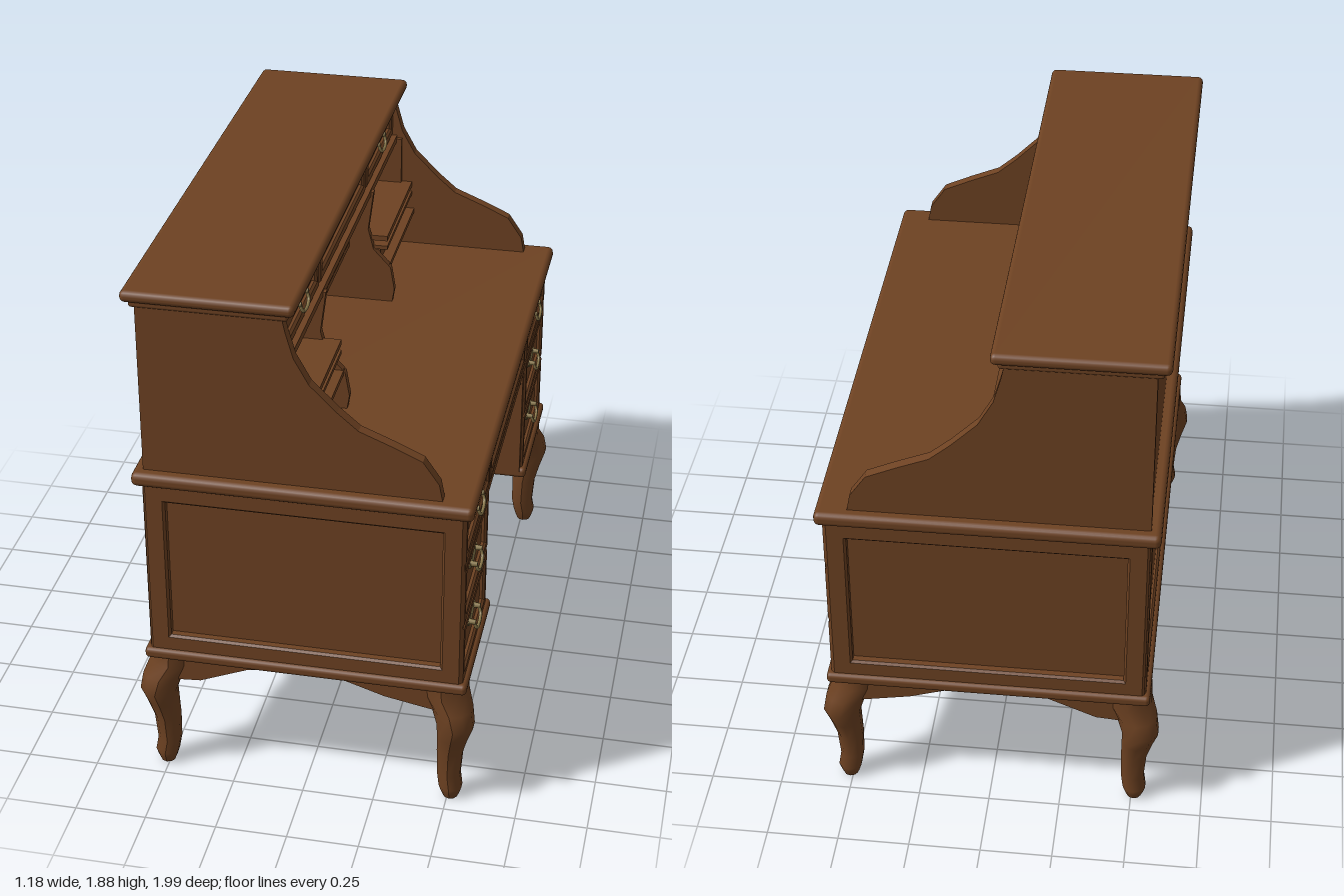
import * as THREE from 'three';
import { RoundedBoxGeometry } from 'three/addons/geometries/RoundedBoxGeometry.js';

export function createModel() {
  const desk = new THREE.Group();
  desk.name = 'writingDesk';
  const wood = new THREE.MeshStandardMaterial({ color: 0x6e4222 });
  wood.name = 'walnut';
  const brass = new THREE.MeshStandardMaterial({ color: 0x8c7a4c });
  brass.name = 'brass';

  function add(name, geo, mat = wood, parent = desk) {
    const m = new THREE.Mesh(geo, mat);
    m.name = name;
    parent.add(m);
    return m;
  }
  // box given by its limits on each axis
  function box(name, x0, x1, y0, y1, z0, z1, round = 0) {
    const s = [Math.abs(x1 - x0), y1 - y0, Math.abs(z1 - z0)];
    const g = round ? new RoundedBoxGeometry(...s, 2, round) : new THREE.BoxGeometry(...s);
    g.translate((x0 + x1) / 2, (y0 + y1) / 2, (z0 + z1) / 2);
    return add(name, g);
  }
  const toShape = pts => new THREE.Shape(pts.map(p => new THREE.Vector2(...p)));
  // upright board cut in the x-y plane
  function sideBoard(name, pts, z0, z1) {
    const g = new THREE.ExtrudeGeometry(toShape(pts), { depth: z1 - z0, bevelEnabled: false });
    return add(name, g.translate(0, 0, z0));
  }
  // upright board cut in the z-y plane
  function frontBoard(name, pts, x0, x1) {
    const g = new THREE.ExtrudeGeometry(toShape(pts.map(([z, y]) => [-z, y])), { depth: x1 - x0, bevelEnabled: false });
    return add(name, g.rotateY(Math.PI / 2).translate(x0, 0, 0));
  }
  // bevelled picture-frame moulding, facing +z before turning
  function frame(name, w, h, border, depth, pos, turn) {
    const b = 0.008;
    const rect = (a, c) => [[-a, -c], [a, -c], [a, c], [-a, c]];
    const s = toShape(rect(w / 2 - b, h / 2 - b));
    s.holes.push(new THREE.Path(rect(w / 2 - border, h / 2 - border).reverse().map(p => new THREE.Vector2(...p))));
    const g = new THREE.ExtrudeGeometry(s, { depth: depth - b, bevelThickness: b, bevelSize: b, bevelSegments: 1 });
    const m = add(name, g);
    m.rotation.y = turn;
    m.position.set(...pos);
  }

  // drawer pull: thin backplate, two posts and a hanging bail
  function pull(x, y, z) {
    const g = new THREE.Group();
    g.name = 'drawerPull';
    const s = new THREE.Shape();
    s.moveTo(-0.075, 0.012);
    s.quadraticCurveTo(-0.04, 0.012, 0, 0.034);
    s.quadraticCurveTo(0.04, 0.012, 0.075, 0.012);
    s.quadraticCurveTo(0.06, -0.015, 0.03, -0.016);
    s.quadraticCurveTo(0, -0.034, -0.03, -0.016);
    s.quadraticCurveTo(-0.06, -0.015, -0.075, 0.012);
    add('backplate', new THREE.ExtrudeGeometry(s, { depth: 0.006, bevelEnabled: false, curveSegments: 5 }), brass, g);
    for (const u of [-0.05, 0.05]) {
      const post = new THREE.CylinderGeometry(0.008, 0.011, 0.028, 8).rotateX(Math.PI / 2);
      add('post', post.translate(u, 0.008, 0.014), brass, g);
    }
    const path = new THREE.CatmullRomCurve3([[-0.05, 0.008, 0.022], [-0.045, -0.018, 0.03], [0, -0.03, 0.032],
      [0.045, -0.018, 0.03], [0.05, 0.008, 0.022]].map(p => new THREE.Vector3(...p)));
    add('bail', new THREE.TubeGeometry(path, 14, 0.006, 6), brass, g);
    g.rotation.y = Math.PI / 2;
    g.position.set(x, y, z);
    desk.add(g);
  }
  // drawer front: recessed panel with raised border
  function drawer(x, y0, y1, z0, z1, handle) {
    box('drawerPanel', x - 0.05, x, y0 + 0.01, y1 - 0.01, z0 + 0.01, z1 - 0.01);
    const y = (y0 + y1) / 2, z = (z0 + z1) / 2;
    frame('drawerBorder', z1 - z0, y1 - y0, 0.032, 0.02, [x - 0.002, y, z], Math.PI / 2);
    if (handle) pull(x, y, z);
  }

  // writing surface and base moulding
  box('deskTop', -0.57, 0.575, 1.18, 1.23, -0.99, 0.99, 0.02);
  for (const s of [-1, 1]) box('baseMoulding', -0.555, 0.565, 0.485, 0.525, s * 0.44, s * 0.985, 0.015);
  box('backBaseMoulding', -0.555, -0.49, 0.485, 0.525, -0.5, 0.5, 0.015);

  // lower case around the kneehole
  box('lowerBack', -0.525, -0.49, 0.5, 1.19, -0.95, 0.95);
  box('drawerCase', -0.5, 0.52, 0.99, 1.19, -0.94, 0.94);
  for (const s of [-1, 1]) {
    box('pedestal', -0.5, 0.52, 0.5, 1.0, s * 0.44, s * 0.94);
    frame('sidePanelFrame', 1.08, 0.68, 0.065, 0.035, [0.005, 0.85, s * 0.935], s > 0 ? 0 : Math.PI);
    box('pedestalStile', 0.5, 0.542, 0.51, 0.99, s * 0.435, s * 0.465);
    for (const [a, b] of [[0.515, 0.75], [0.755, 0.985]]) {
      drawer(0.532, a, b, s > 0 ? 0.46 : -0.965, s > 0 ? 0.965 : -0.46, true);
    }
    drawer(0.532, 1.0, 1.18, s > 0 ? 0.45 : -0.965, s > 0 ? 0.965 : -0.45, true);
  }
  drawer(0.53, 1.0, 1.18, -0.43, 0.43, false);
  box('drawerRail', 0.48, 0.548, 0.975, 1.003, -0.96, 0.96);
  frontBoard('kneeholeArch', [[-0.45, 0.99], [-0.45, 0.88], [-0.43, 0.91], [-0.36, 0.955], [-0.25, 0.97],
    [0.25, 0.97], [0.36, 0.955], [0.43, 0.91], [0.45, 0.88], [0.45, 0.99]], 0.5, 0.535);
  frame('lowerBackFrame', 1.92, 0.68, 0.05, 0.018, [-0.522, 0.85, 0], -Math.PI / 2);
  const lock = new THREE.CylinderGeometry(0.042, 0.042, 0.008, 12).rotateZ(Math.PI / 2);
  add('keyPlate', lock.translate(0.535, 1.09, 0), brass);

  // aprons and cabriole legs: [height, x centre, radius]
  const sections = [[0.5, 0.475, 0.085], [0.44, 0.48, 0.083], [0.39, 0.51, 0.072], [0.33, 0.525, 0.066], [0.27, 0.515, 0.056],
    [0.2, 0.505, 0.047], [0.1, 0.502, 0.042], [0.05, 0.51, 0.042], [0.025, 0.51, 0.034], [0.005, 0.51, 0.026]];
  const rows = sections.length - 1;
  for (const sz of [-1, 1]) {
    sideBoard('sideApron', [[-0.5, 0.5], [-0.5, 0.38], [-0.37, 0.39], [-0.2, 0.46], [-0.08, 0.478], [0.1, 0.478],
      [0.28, 0.42], [0.44, 0.39], [0.5, 0.38], [0.5, 0.5]], sz * 0.93 - 0.018, sz * 0.93 + 0.018);
    for (const sx of [-1, 1]) {
      frontBoard('cornerBracket', [[0.92, 0.5], [0.92, 0.37], [0.8, 0.385], [0.72, 0.41], [0.64, 0.425], [0.58, 0.478],
        [0.58, 0.5]].map(([z, y]) => [z * sz, y]), sx * 0.51 - 0.018, sx * 0.51 + 0.018);
      const g = new THREE.CylinderGeometry(1, 1, 1, 10, rows);
      const p = g.attributes.position;
      for (let i = 0; i < p.count; i++) {
        const [y, c, r] = sections[Math.round((0.5 - p.getY(i)) * rows)];
        p.setXYZ(i, sx * c + r * p.getX(i), y, sz * (c + 0.405) + r * p.getZ(i));
      }
      g.computeVertexNormals();
      add('cabrioleLeg', g);
    }
  }

  // hutch sides with swept front edge
  const sweep = [[-0.535, 1.21], [0.47, 1.21], [0.455, 1.29], [0.4, 1.37], [0.3, 1.415], [0.19, 1.46], [0.12, 1.52],
    [0.03, 1.61], [-0.02, 1.7], [-0.045, 1.79], [-0.06, 1.86], [-0.535, 1.86]];
  for (const s of [-1, 1]) sideBoard('hutchSide', sweep, s * 0.93 - 0.02, s * 0.93 + 0.02);
  box('hutchBack', -0.53, -0.5, 1.21, 1.86, -0.93, 0.93);
  box('hutchTop', -0.58, -0.012, 1.85, 1.89, -0.97, 0.97, 0.018);
  box('hutchCornice', -0.555, -0.035, 1.83, 1.86, -0.955, 0.955, 0.01);

  // top row of hutch drawers
  box('hutchDrawerCase', -0.51, -0.09, 1.67, 1.84, -0.92, 0.92);
  box('hutchRail', -0.51, -0.04, 1.655, 1.68, -0.92, 0.92);
  drawer(-0.075, 1.68, 1.84, 0.4, 0.915, true);
  drawer(-0.075, 1.68, 1.84, -0.915, -0.4, true);
  drawer(-0.075, 1.68, 1.84, -0.385, 0.385, false);

  // pigeonholes: shaped dividers, shelves and little drawers
  box('centreShelf', -0.51, -0.12, 1.445, 1.465, -0.41, 0.41);
  for (const s of [-1, 1]) {
    sideBoard('divider', [[-0.51, 1.22], [0.04, 1.22], [0.05, 1.28], [0.035, 1.37], [-0.03, 1.44], [-0.05, 1.52],
      [-0.03, 1.67], [-0.51, 1.67]], s * 0.41 - 0.014, s * 0.41 + 0.014);
    box('upperShelf', -0.51, 0.02, 1.47, 1.49, s * 0.41, s * 0.92);
    box('middleShelf', -0.51, 0.02, 1.435, 1.45, s * 0.41, s * 0.92);
    box('lowerShelf', -0.51, 0.03, 1.36, 1.378, s * 0.41, s * 0.92);
    box('smallDrawer', -0.51, -0.01, 1.378, 1.435, s * 0.43, s * 0.9);
    box('pigeonholeStile', -0.2, -0.02, 1.22, 1.67, s * 0.895, s * 0.92);
  }
  return desk;
}
